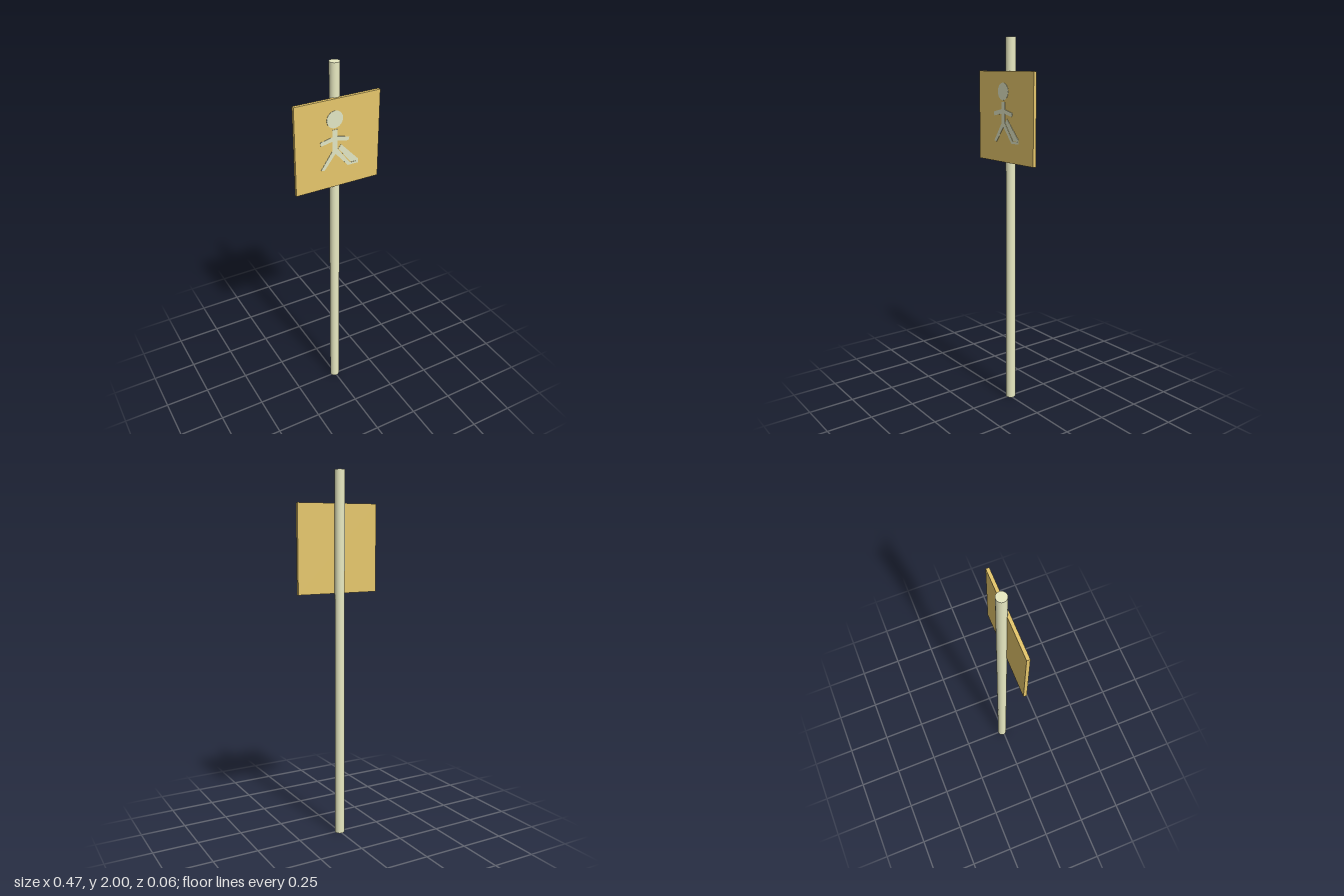
import * as THREE from 'three';

export function createModel() {
  const model = new THREE.Group();
  const cream = new THREE.MeshStandardMaterial({ color: 0xe9eac2 });
  const yellow = new THREE.MeshStandardMaterial({ color: 0xe6c76c });
  const pale = new THREE.MeshStandardMaterial({ color: 0xe2e6c4 });

  const add = (parent, name, geometry, material, x, y, z) => {
    const mesh = new THREE.Mesh(geometry, material);
    mesh.name = name;
    mesh.position.set(x, y, z);
    parent.add(mesh);
    return mesh;
  };

  // Round pole with the square board fixed to its front
  add(model, 'pole', new THREE.CylinderGeometry(0.0267, 0.0267, 2, 32), cream, 0, 1, -0.0065);
  add(model, 'signBoard', new THREE.BoxGeometry(0.472, 0.472, 0.0175), yellow, 0, 1.594, 0.0207);

  // Walking figure, slightly raised from the board
  const figure = new THREE.Group();
  figure.name = 'walkingFigure';
  model.add(figure);
  const face = 0.029, depth = 0.002;

  const head = add(figure, 'head', new THREE.CylinderGeometry(0.045, 0.045, depth, 32),
    pale, -0.018, 1.726, face + depth / 2);
  head.rotation.x = Math.PI / 2;

  // Flat limbs, outlined counter-clockwise
  const limbs = {
    torso: [[-0.032, 1.555], [-0.003, 1.555], [-0.003, 1.672], [-0.032, 1.672]],
    rightArm: [[-0.096, 1.599], [-0.018, 1.614], [-0.018, 1.638], [-0.1, 1.62]],
    leftArm: [[-0.018, 1.614], [0.058, 1.599], [0.064, 1.618], [-0.018, 1.638]],
    rightLeg: [[-0.096, 1.468], [-0.078, 1.461], [-0.012, 1.545], [-0.006, 1.572], [-0.032, 1.56]],
    leftLeg: [[-0.02, 1.548], [0.056, 1.462], [0.116, 1.462], [0.116, 1.474], [0.068, 1.474], [-0.004, 1.568]],
    swingingLeg: [[0, 1.568], [0.073, 1.477], [0.116, 1.474], [0.116, 1.484], [0.018, 1.586]],
  };
  for (const [name, points] of Object.entries(limbs)) {
    const shape = new THREE.Shape(points.map(([x, y]) => new THREE.Vector2(x, y)));
    add(figure, name, new THREE.ExtrudeGeometry(shape, { depth, bevelEnabled: false }), pale, 0, 0, face);
  }
  return model;
}
